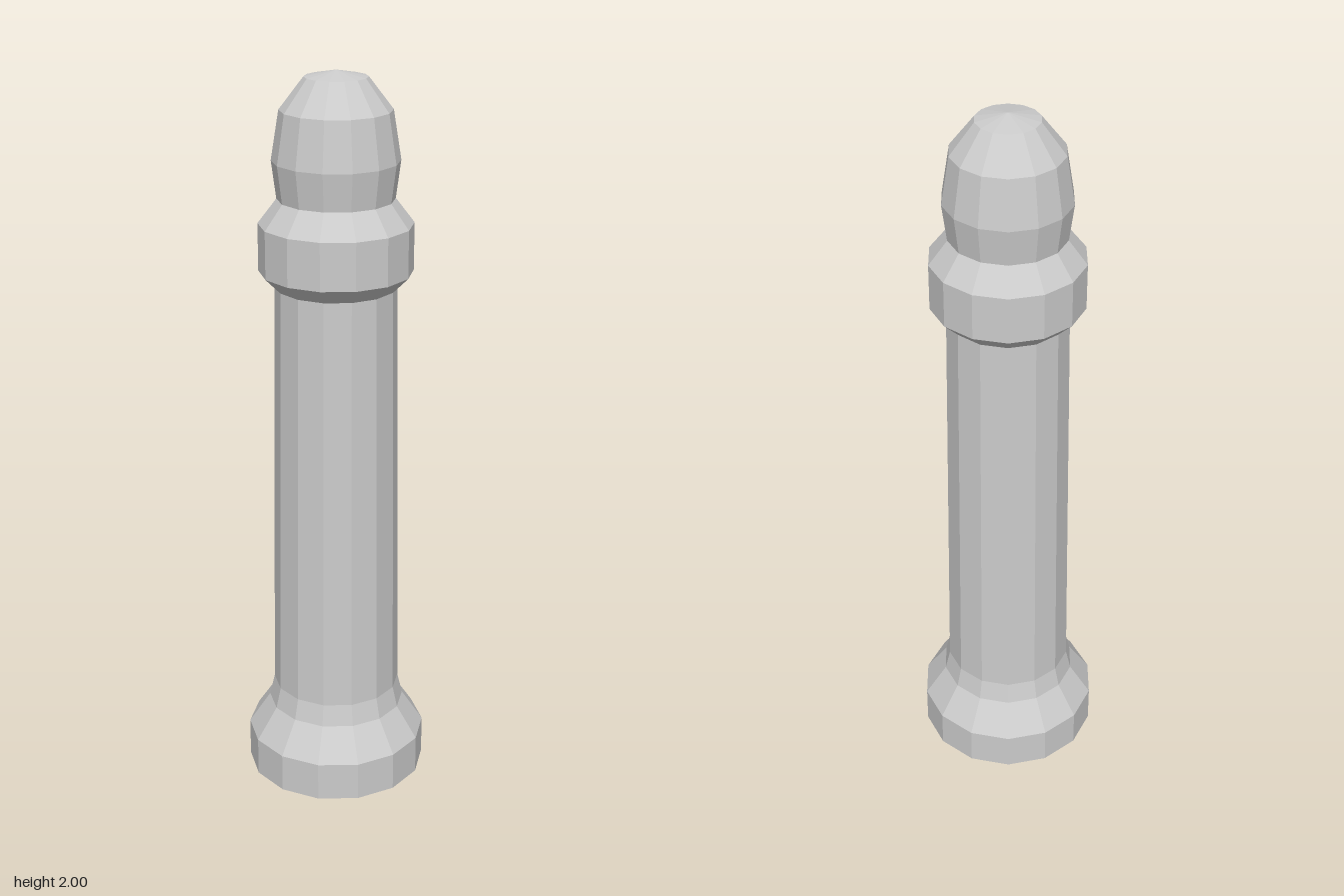
import * as THREE from 'three';

const SIDES = 14;

// Each part is a band of one continuous turned profile: [radius, height], bottom to top
const PARTS = {
  foot: [[0, 0], [0.252, 0], [0.252, 0.11], [0.192, 0.2], [0.178, 0.26]],
  shaft: [[0.178, 0.26], [0.163, 1.435]],
  collar: [[0.163, 1.435], [0.205, 1.477], [0.205, 1.605], [0.155, 1.67]],
  domedHead: [[0.155, 1.67], [0.168, 1.77], [0.147, 1.9], [0.083, 1.983], [0, 2]],
};

export function createModel() {
  const model = new THREE.Group();
  model.name = 'bollard';
  const material = new THREE.MeshStandardMaterial({ color: 0xcccccc, flatShading: true });

  for (const [name, profile] of Object.entries(PARTS)) {
    const points = profile.map(([r, y]) => new THREE.Vector2(r, y));
    // Start a quarter turn round so that corners lie on the x axis
    const geometry = new THREE.LatheGeometry(points, SIDES, Math.PI / 2);
    const mesh = new THREE.Mesh(geometry, material);
    mesh.name = name;
    model.add(mesh);
  }
  return model;
}
